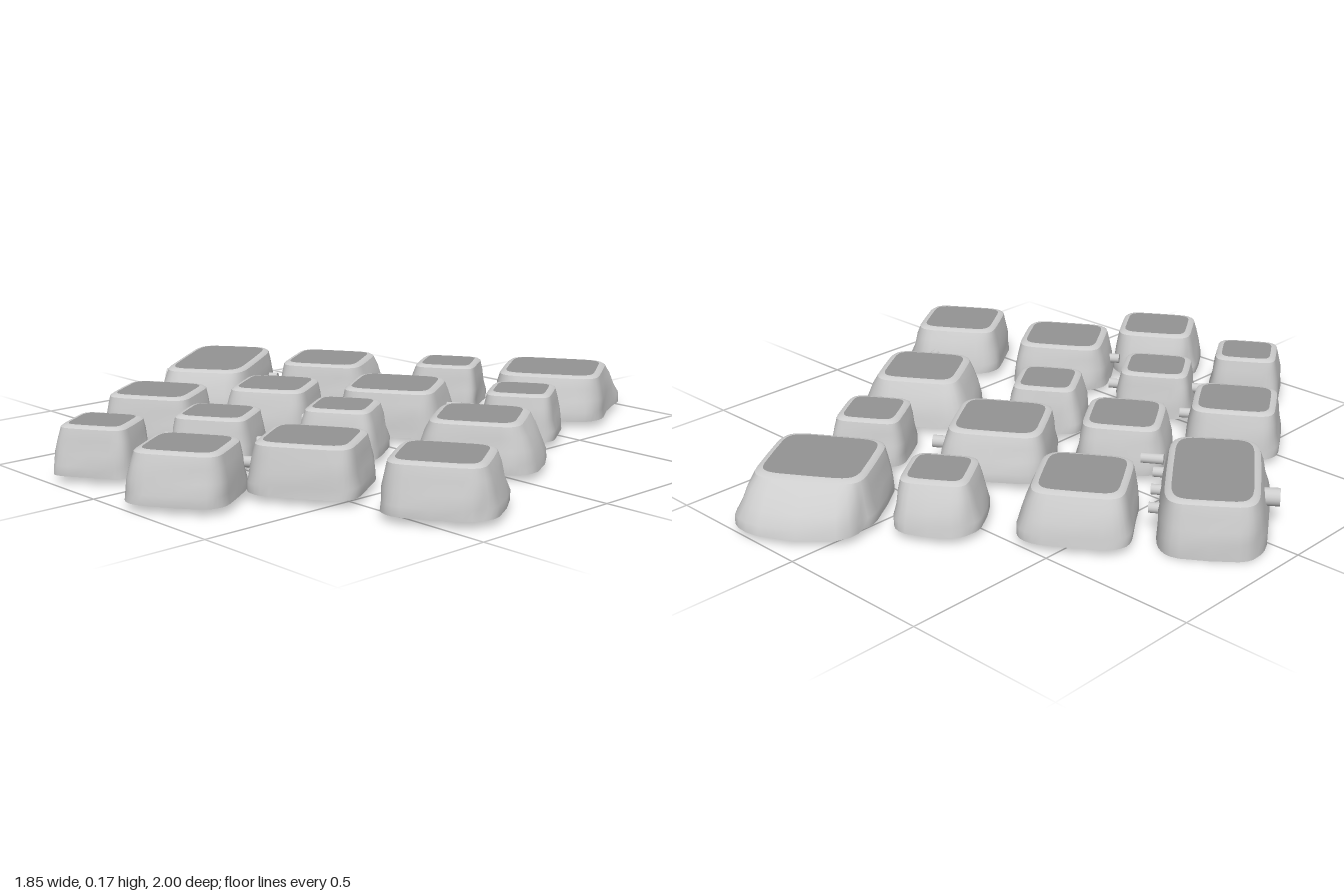
import * as THREE from 'three';

const stoneMat = new THREE.MeshStandardMaterial({ color: 0xcdcdcd, side: THREE.DoubleSide });
stoneMat.name = 'pale stone';
const topMat = new THREE.MeshStandardMaterial({ color: 0x949494, side: THREE.DoubleSide });
topMat.name = 'grey top';

const SEG = 32, TOP = 0.165;

function addMesh(parent, geometry, material, name) {
  const mesh = new THREE.Mesh(geometry, material);
  mesh.name = name;
  parent.add(mesh);
  return mesh;
}

// skin between closed rings, listed from bottom to top
function loft(rings) {
  const index = [];
  for (let i = 0; i < rings.length - 1; i++) {
    for (let j = 0; j < SEG; j++) {
      const k = (j + 1) % SEG, a = i * SEG, b = a + SEG;
      index.push(a + j, b + j, a + k, a + k, b + j, b + k);
    }
  }
  const g = new THREE.BufferGeometry();
  g.setAttribute('position', new THREE.Float32BufferAttribute(rings.flat(2), 3));
  g.setIndex(index);
  g.computeVertexNormals();
  return g;
}

// one hollow stone: flared wall, pale rim, flat grey top.
// flare: overhang (hundredths) at 8 points round the foot, side, corner, side...
function addStone(parent, x, z, w, d, flare, angle = 0.57, foot = 0.02) {
  const stone = new THREE.Group();
  stone.name = 'pavingStone';
  stone.position.set(x, 0, z);
  stone.rotation.y = angle;
  parent.add(stone);

  const round = (c) => Math.sign(c) * Math.pow(Math.abs(c), 1 / 3);
  const ring = (y, spread, inset = 0, wave = 0) => {
    const points = [];
    for (let j = 0; j < SEG; j++) {
      const t = (j / SEG) * Math.PI * 2;
      const s = (j / SEG) * 8, i = Math.floor(s);
      const f = THREE.MathUtils.lerp(flare[i], flare[(i + 1) % 8], s - i) / 100;
      const out = f * spread + wave * Math.sin(3 * t + x * 20);
      points.push([
        (w / 2 - inset) * round(Math.cos(t)) + out * Math.cos(t), y,
        (d / 2 - inset) * round(Math.sin(t)) + out * Math.sin(t),
      ]);
    }
    return points;
  };

  addMesh(stone, loft([
    ring(foot, 1), ring(0.05, 0.95, 0, 0.003), ring(0.085, 0.7, 0, -0.003),
    ring(0.125, 0.4), ring(0.157, 0.05),
  ]), stoneMat, 'stoneWall');
  const lip = ring(TOP, 0, 0.018);
  addMesh(stone, loft([ring(0.157, 0.05), ring(0.163, 0, 0.007), lip]), stoneMat, 'stoneRim');

  const shape = new THREE.Shape(lip.map(([px, , pz]) => new THREE.Vector2(px, -pz)));
  const plate = addMesh(stone, new THREE.ShapeGeometry(shape), topMat, 'stoneTop');
  plate.rotation.x = -Math.PI / 2;
  plate.position.y = TOP;
}

// short round spacer poking through a wall, heading measured like the stone angle
function addPeg(parent, x, z, heading = 0.57, length = 0.07, r = 0.016, y = 0.08) {
  const peg = addMesh(parent, new THREE.CylinderGeometry(r, r, length, 14), stoneMat, 'spacerPeg');
  peg.rotation.set(0, heading, Math.PI / 2);
  peg.position.set(x, y, z);
}

export function createModel() {
  const group = new THREE.Group();
  group.name = 'pavingStones';

  // back stones
  addStone(group, 0.20, -0.72, 0.33, 0.31, [2, 2, 4, 2, 3, 3, 11, 8]);
  addStone(group, -0.11, -0.535, 0.20, 0.20, [1, 2, 2, 2, 4, 4, 6, 3]);
  addStone(group, 0.355, -0.38, 0.20, 0.20, [2, 2, 2, 2, 2, 2, 2, 3]);
  addStone(group, -0.435, -0.275, 0.27, 0.28, [4, 2, 2, 2, 2, 4, 5, 5]);
  // long left stone, set a little deeper
  addStone(group, -0.69, 0.005, 0.27, 0.45, [2, 3, 5, 4, 3, 2, 3, 2], 0.63, 0);
  // middle stones
  addStone(group, 0.02, -0.15, 0.29, 0.27, [3, 2, 2, 2, 2, 3, 4, 4]);
  addStone(group, 0.50, -0.03, 0.27, 0.26, [6, 3, 2, 3, 5, 6, 5, 4]);
  addStone(group, -0.24, 0.135, 0.24, 0.24, [2, 2, 3, 3, 3, 2, 3, 2]);
  addStone(group, 0.13, 0.18, 0.20, 0.20, [3, 3, 3, 3, 3, 3, 2, 3]);
  // front stones
  addStone(group, -0.42, 0.465, 0.26, 0.24, [2, 2, 2, 2, 2, 2, 3, 2]);
  addStone(group, -0.055, 0.515, 0.22, 0.20, [2, 2, 2, 2, 2, 2, 2, 2]);
  addStone(group, 0.36, 0.51, 0.28, 0.25, [2, 2, 2, 2, 3, 2, 3, 3]);
  addStone(group, 0.74, 0.38, 0.27, 0.25, [4, 2, 3, 2, 2, 3, 5, 3]);
  addStone(group, -0.195, 0.83, 0.20, 0.19, [2, 2, 2, 3, 2, 2, 2, 2]);
  addStone(group, 0.19, 0.815, 0.25, 0.23, [2, 2, 3, 3, 3, 2, 4, 2]);

  // spacers between the stones
  addPeg(group, -0.635, -0.165);
  addPeg(group, -0.565, -0.07);
  addPeg(group, -0.495, 0.025);
  addPeg(group, 0.14, -0.275, 0.57, 0.08, 0.02);
  addPeg(group, 0.505, -0.21, Math.PI / 2, 0.09, 0.018, 0.085);
  addPeg(group, 0.51, 0.15, 0.35, 0.035, 0.016, 0.06);
  addPeg(group, -0.405, 0.075);
  addPeg(group, -0.10, 0.165);
  addPeg(group, -0.275, 0.425);
  addPeg(group, -0.15, 0.60);
  addPeg(group, 0.055, 0.455);
  addPeg(group, 0.235, 0.61);
  addPeg(group, 0.71, 0.22, -1.2, 0.07);

  // hollow pipe end on the outer side of the long stone
  const pipeProfile = [[0.015, -0.035], [0.027, -0.035], [0.027, 0.035], [0.015, 0.035], [0.015, -0.035]];
  const pipe = addMesh(group, new THREE.LatheGeometry(
    pipeProfile.map(([r, h]) => new THREE.Vector2(r, h)), 16), stoneMat, 'pipeEnd');
  pipe.rotation.set(0, 0.63, Math.PI / 2);
  pipe.position.set(-0.825, 0.09, 0.09);

  return group;
}
